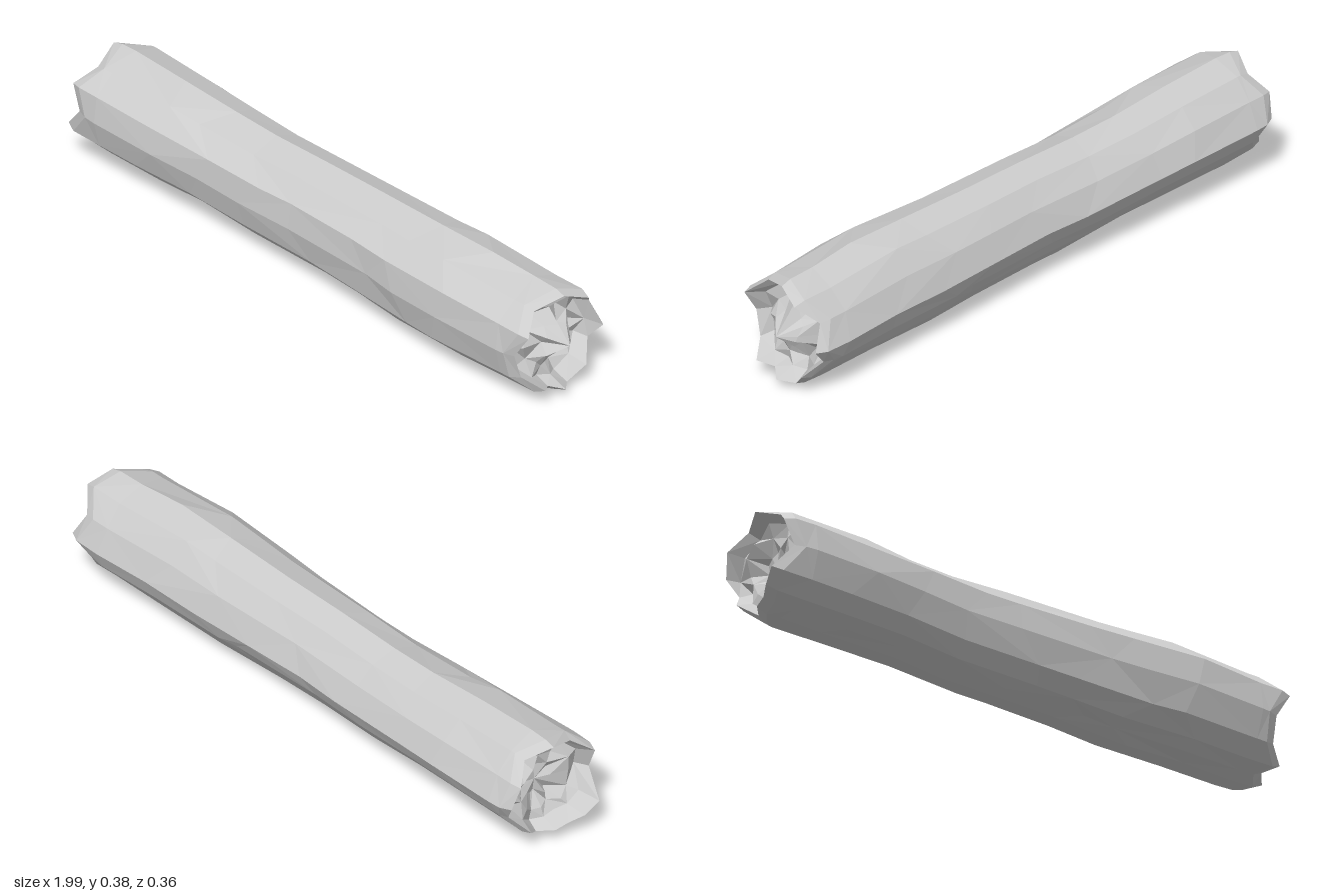
import * as THREE from 'three';

// Cross-section corners (z, y) in unit scale, from the front upward and round the back
const SECTION = [
  [1, 0], [0.95, 0.5], [0.57, 0.82], [0, 1], [-0.5, 0.84], [-0.82, 0.48], [-1, 0],
  [-0.84, -0.34], [-0.55, -0.7], [-0.22, -1], [0.05, -0.97], [0.32, -0.89], [0.6, -0.78], [0.88, -0.52],
];
// Trunk outline: x, bottom, top, back, front
const STATIONS = [
  [-0.86, 0.03, 0.38, -0.18, 0.176], [-0.66, 0.03, 0.373, -0.177, 0.174],
  [-0.45, 0.033, 0.361, -0.171, 0.162], [-0.22, 0.017, 0.357, -0.161, 0.155],
  [0, 0.016, 0.364, -0.156, 0.152], [0.22, 0.012, 0.366, -0.162, 0.157],
  [0.42, 0, 0.371, -0.168, 0.17], [0.62, 0.004, 0.377, -0.173, 0.178],
  [0.84, 0.008, 0.365, -0.18, 0.168],
];
// How far each corner of the broken rims reaches along x
const LEFT_RIM = [0.93, 0.965, 0.925, 0.95, 0.91, 0.95, 0.935, 0.9, 0.95, 0.91, 0.95, 0.96, 0.985, 1];
const RIGHT_RIM = [0.91, 0.965, 0.925, 0.96, 0.985, 0.93, 0.97, 0.92, 0.965, 0.935, 0.975, 0.94, 0.975, 0.915];

function makeRandom(seed) {
  return () => {
    seed = (seed * 16807) % 2147483647;
    return seed / 2147483647;
  };
}

// One loop of corners; xAt(j) gives the x of each corner, scaleAt(j) its size
function makeRing([, bottom, top, back, front], xAt, scaleAt) {
  const cy = (bottom + top) / 2, cz = (back + front) / 2;
  return SECTION.map(([z, y], j) => {
    const s = scaleAt(j);
    return [xAt(j), cy + y * s * (top - bottom) / 2, cz + z * s * (front - back) / 2];
  });
}

// Rings of a broken end, ordered from the rim to the core
function makeEnd(station, rim, side, core, random) {
  const wobble = (amount) => (random() - 0.5) * amount;
  return [
    makeRing(station, (j) => side * (rim[j] - 0.035), () => 0.98),
    makeRing(station, (j) => side * rim[j], () => 0.9 + wobble(0.05)),
    makeRing(station, (j) => side * (rim[j] * 0.6 + 0.4 * core[0] - 0.03), () => 0.78 + wobble(0.08)),
    makeRing(station, (j) => side * (core[0] + wobble(0.04)), () => 0.58 + wobble(0.12)),
    makeRing(station, (j) => side * (core[1] + wobble(0.05)), () => 0.3 + wobble(0.1)),
    makeRing(station, () => side * core[2], () => 0),
  ];
}

// Skins neighbouring rings with faceted quads
function loft(rings) {
  const n = SECTION.length;
  const positions = [];
  for (let i = 0; i < rings.length - 1; i++) {
    for (let j = 0; j < n; j++) {
      const k = (j + 1) % n;
      const a = rings[i][j], b = rings[i + 1][j], c = rings[i + 1][k], d = rings[i][k];
      const tris = (i + j) % 2 ? [[a, b, c], [a, c, d]] : [[a, b, d], [b, c, d]];
      // Leave out the collapsed triangles at the two core points
      for (const [p, q, r] of tris) {
        const same = (u, v) => u.every((value, m) => Math.abs(value - v[m]) < 1e-7);
        if (!same(p, q) && !same(q, r) && !same(p, r)) positions.push(...p, ...q, ...r);
      }
    }
  }
  const geometry = new THREE.BufferGeometry();
  geometry.setAttribute('position', new THREE.Float32BufferAttribute(positions, 3));
  geometry.computeVertexNormals();
  return geometry;
}

export function createModel() {
  const random = makeRandom(4127);
  const group = new THREE.Group();
  group.name = 'log';

  // Rough trunk, its corners shifted along the grain and slightly inward
  const trunk = STATIONS.map((station, i) => {
    const atEnd = i === 0 || i === STATIONS.length - 1;
    return makeRing(
      station,
      () => station[0] + (random() - 0.5) * (atEnd ? 0.02 : 0.13),
      (j) => 1 - random() * (j % 3 === 0 ? 0.01 : 0.035),
    );
  });

  // Left end is a hollow scoop, right end has a splinter in the middle
  const leftEnd = makeEnd(STATIONS[0], LEFT_RIM, -1, [0.895, 0.875, 0.865], random);
  const rightEnd = makeEnd(STATIONS[STATIONS.length - 1], RIGHT_RIM, 1, [0.88, 0.925, 0.985], random);

  const log = new THREE.Mesh(
    loft([...leftEnd.reverse(), ...trunk, ...rightEnd]),
    new THREE.MeshStandardMaterial({ color: 0xcccccc, flatShading: true }),
  );
  log.name = 'brokenTrunk';
  group.add(log);
  return group;
}
